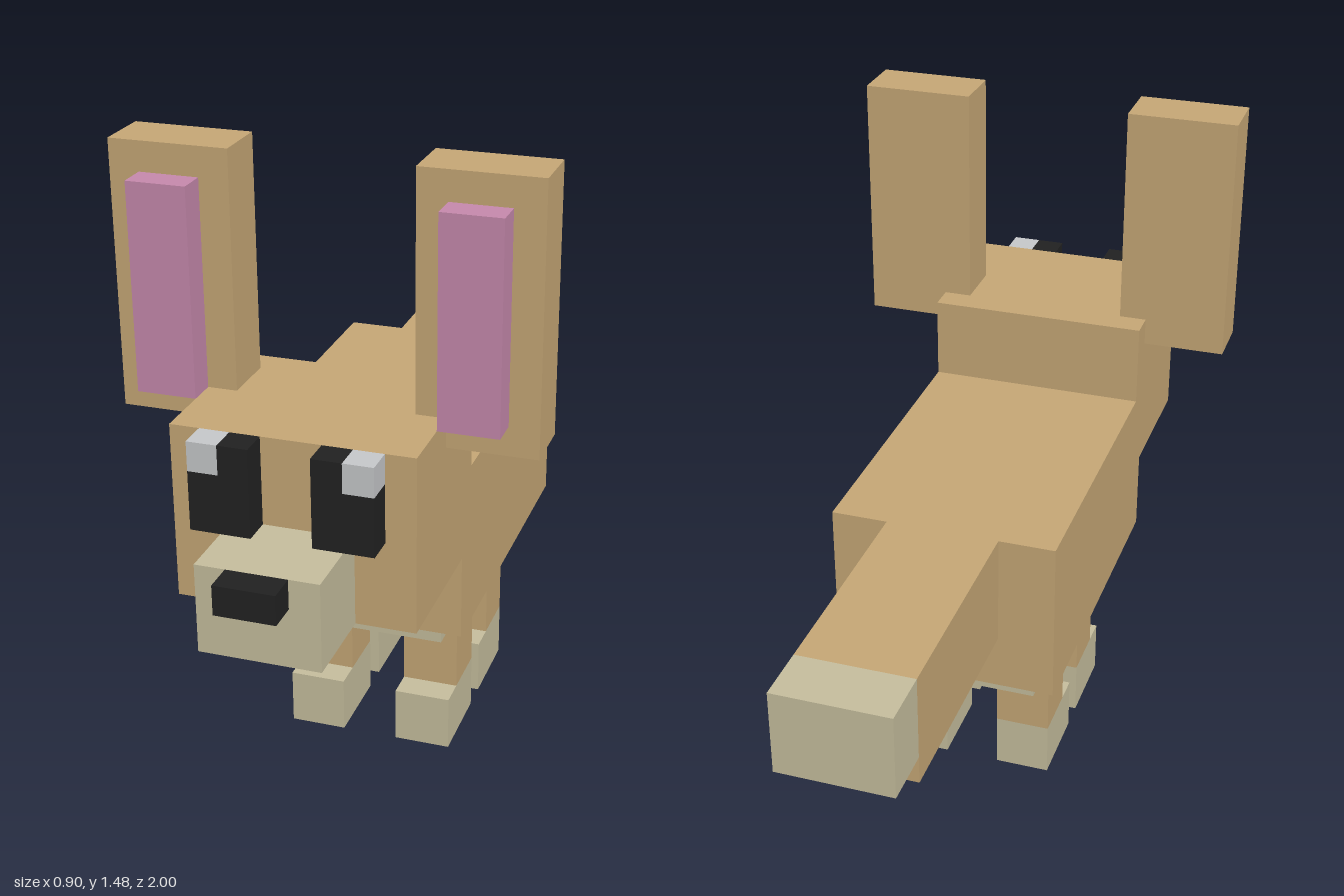
import * as THREE from 'three';

const U = 2 / 31; // one voxel

const material = (name, color) => {
  const m = new THREE.MeshStandardMaterial({ color });
  m.name = name;
  return m;
};

export function createModel() {
  const fur = material('tan fur', 0xc8a977);
  const cream = material('cream fur', 0xc8c09f);
  const pink = material('inner ear pink', 0xc88aae);
  const black = material('black', 0x222222);
  const glint = material('eye glint grey', 0xc8cacc);

  const model = new THREE.Group();
  model.name = 'bigEaredFox';

  // Box between two corners, given in voxels
  const box = (parent, name, mat, [x0, x1], [y0, y1], [z0, z1]) => {
    const geometry = new THREE.BoxGeometry((x1 - x0) * U, (y1 - y0) * U, (z1 - z0) * U);
    const mesh = new THREE.Mesh(geometry, mat);
    mesh.name = name;
    mesh.position.set((x0 + x1) / 2 * U, (y0 + y1) / 2 * U, (z0 + z1) / 2 * U);
    parent.add(mesh);
  };

  const group = (name) => {
    const g = new THREE.Group();
    g.name = name;
    model.add(g);
    return g;
  };

  // Torso and belly
  box(model, 'body', fur, [-4, 4], [6, 12], [-5.5, 6.5]);
  box(model, 'belly', cream, [-3, 3], [5, 6], [-4.5, 5.5]);

  // Head
  box(model, 'head', fur, [-4, 4], [9, 15], [5.5, 11.5]);
  box(model, 'muzzle', cream, [-2, 2], [9, 12], [11.5, 14.5]);
  box(model, 'nose', black, [-1, 1], [11, 12], [14.5, 15.5]);

  // Tail
  box(model, 'tail', fur, [-2, 2], [8, 12], [-13.5, -5.5]);
  box(model, 'tailTip', cream, [-2, 2], [9, 12], [-15.5, -13.5]);

  // Paired parts
  for (const [side, s] of [['left', 1], ['right', -1]]) {
    const span = (a, b) => (s > 0 ? [a, b] : [-b, -a]);

    const ear = group(side + 'Ear');
    box(ear, 'outerEar', fur, span(3, 7), [14, 23], [6.5, 8.5]);
    box(ear, 'innerEar', pink, span(4, 6), [15, 22], [8.5, 9.5]);

    const eye = group(side + 'Eye');
    box(eye, 'lowerEye', black, span(1, 3), [12, 14], [11.5, 12.5]);
    box(eye, 'upperEye', black, span(1, 2), [14, 15], [11.5, 12.5]);
    box(eye, 'eyeGlint', glint, span(2, 3), [14, 15], [11.5, 12.5]);

    for (const [end, z] of [['Front', 1.5], ['Back', -2.5]]) {
      const leg = group(side + end + 'Leg');
      box(leg, 'shin', fur, span(1, 3), [2, 6], [z, z + 2]);
      box(leg, 'foot', cream, span(1, 3), [0, 2], [z, z + 3]);
    }
  }
  return model;
}
